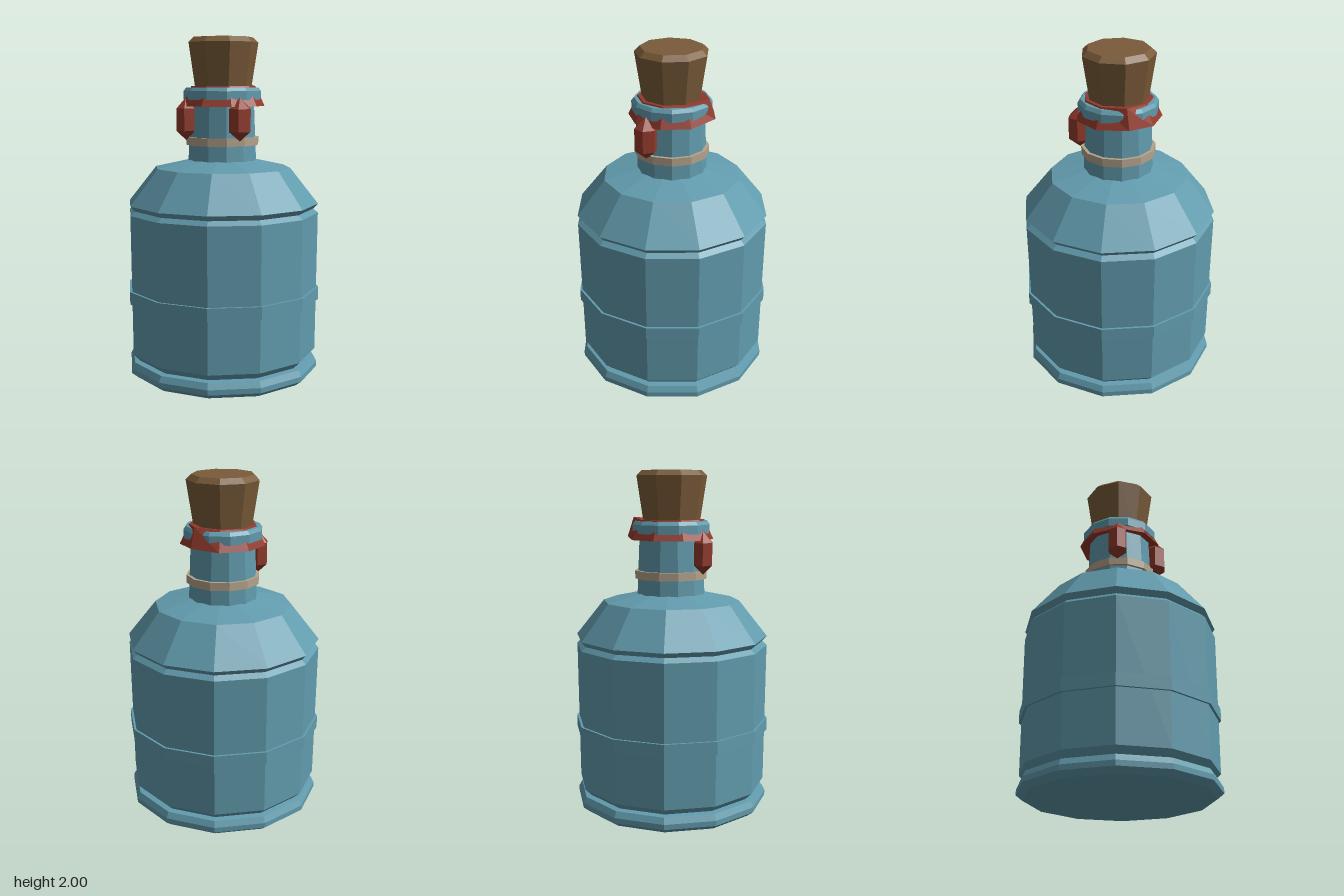
import * as THREE from 'three';

const mat = (name, color) => {
  const m = new THREE.MeshStandardMaterial({ color, flatShading: true });
  m.name = name;
  return m;
};

// Faceted solid of revolution; profile is [radius, y] from bottom to top
function turned(name, profile, sides, start, material) {
  const pts = profile.map(([r, y]) => new THREE.Vector2(r, y));
  const mesh = new THREE.Mesh(new THREE.LatheGeometry(pts, sides, start), material);
  mesh.name = name;
  return mesh;
}

export function createModel() {
  const glass = mat('blue glass', 0x629cae);
  const corkMat = mat('cork brown', 0x7a5b39);
  const waxMat = mat('red wax', 0x933a2c);
  const twine = mat('beige twine', 0xb5a48c);
  const group = new THREE.Group();
  group.name = 'corkedBottle';

  // Body with base rim, two grooves and sloping shoulder
  group.add(turned('body', [
    [0, 0], [0.54, 0], [0.578, 0.03], [0.578, 0.06], [0.56, 0.095], [0.525, 0.1],
    [0.565, 0.14], [0.572, 0.975], [0.545, 1.0], [0.572, 1.03],
    [0.405, 1.24], [0.18, 1.29], [0, 1.29],
  ], 12, 0, glass));

  // Raised band round the body
  group.add(turned('bodyBand', [
    [0.55, 0.45], [0.582, 0.45], [0.582, 0.525], [0.55, 0.525],
  ], 12, 0, glass));

  // Neck and lip
  group.add(turned('neck', [
    [0.203, 1.28], [0.188, 1.64], [0.23, 1.64], [0.23, 1.69], [0.215, 1.71], [0, 1.71],
  ], 12, Math.PI / 12, glass));

  // Tie round the neck
  group.add(turned('neckTie', [
    [0.18, 1.375], [0.216, 1.375], [0.216, 1.422], [0.18, 1.422],
  ], 12, Math.PI / 12, twine));

  // Tapered stopper
  group.add(turned('cork', [
    [0, 1.69], [0.168, 1.69], [0.211, 1.97], [0.18, 2], [0, 2],
  ], 9, Math.PI / 2, corkMat));

  // Wax seal: a nine-sided skirt, lifted over the lip at the back
  const seal = turned('waxSeal', [
    [0.17, 1.625], [0.25, 1.603], [0.195, 1.718], [0.16, 1.718],
  ], 9, Math.PI / 2, waxMat);
  const pos = seal.geometry.attributes.position;
  for (let i = 0; i < pos.count; i++) {
    const x = pos.getX(i), y = pos.getY(i), z = pos.getZ(i);
    if (z < -0.18 && Math.abs(x) < 0.06) {
      if (y > 1.7 && z < -0.19) pos.setXYZ(i, 0.035, 1.73, -0.225);
      else if (y < 1.61) pos.setXYZ(i, 0.035, 1.615, -0.262);
    }
  }
  group.add(seal);

  // Hanging wax drips: x, z, radius
  for (const [x, z, r] of [[0.202, 0.095, 0.067], [-0.118, 0.192, 0.06]]) {
    const drip = turned('waxDrip', [
      [0, 1.405], [r, 1.46], [r, 1.59], [0, 1.655],
    ], 6, Math.PI / 2, waxMat);
    drip.position.set(x, 0, z);
    group.add(drip);
  }
  return group;
}
